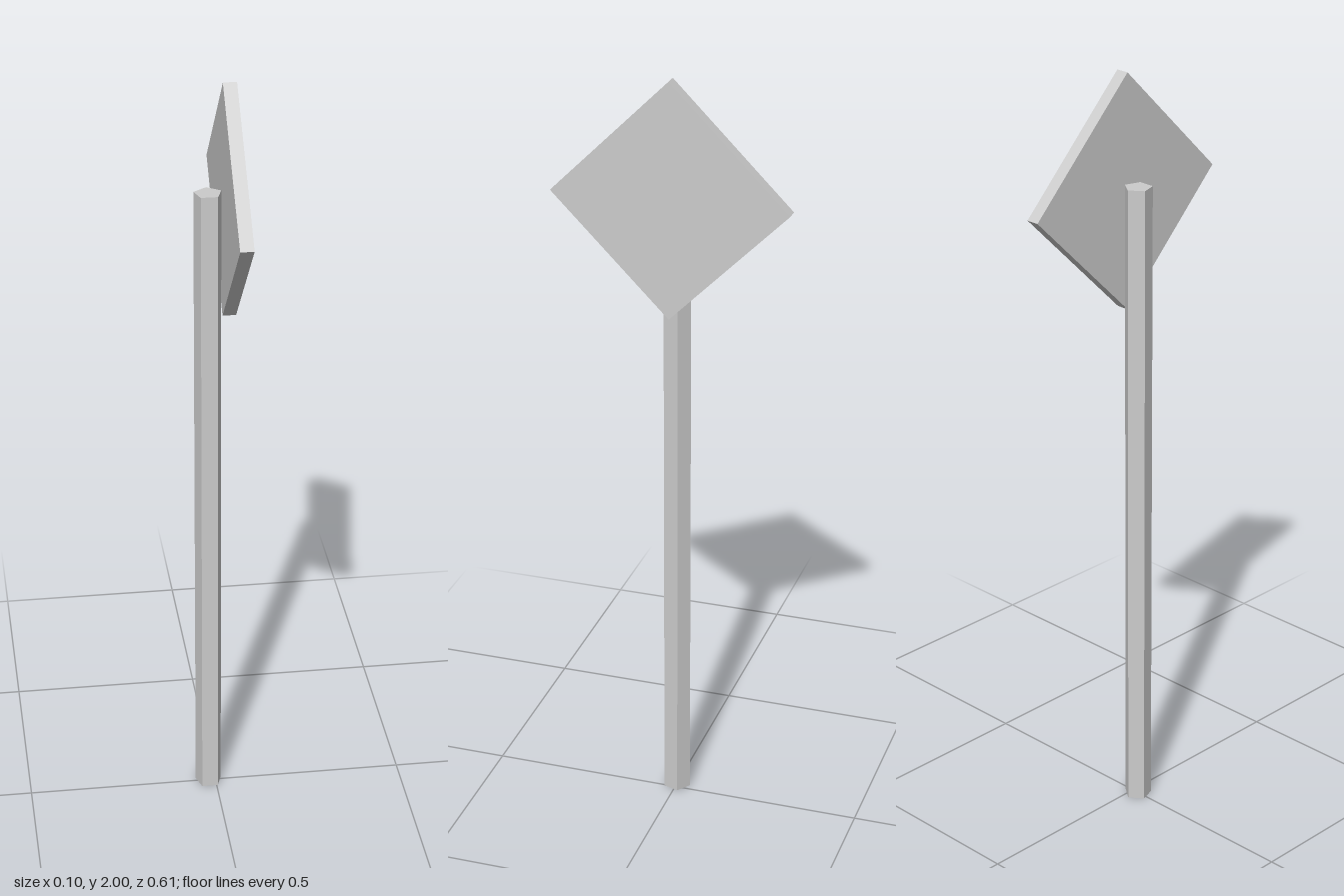
import * as THREE from 'three';

export function createModel() {
  const group = new THREE.Group();
  const material = new THREE.MeshStandardMaterial({ color: 0xcccccc, flatShading: true });

  // Five-sided post, one edge pointing to the back
  const postHeight = 1.72;
  const post = new THREE.Mesh(new THREE.CylinderGeometry(0.036, 0.036, postHeight, 5), material);
  post.name = 'post';
  post.rotation.y = Math.PI;
  post.position.set(-0.018, postHeight / 2, 0);
  group.add(post);

  // Square plate standing on its corner, beside the post
  const halfDiagonal = 0.305;
  const side = halfDiagonal * Math.SQRT2;
  const plate = new THREE.Mesh(new THREE.BoxGeometry(0.034, side, side), material);
  plate.name = 'signPlate';
  plate.rotation.x = Math.PI / 4;
  plate.position.set(0.035, 2 - halfDiagonal, 0);
  group.add(plate);

  return group;
}
